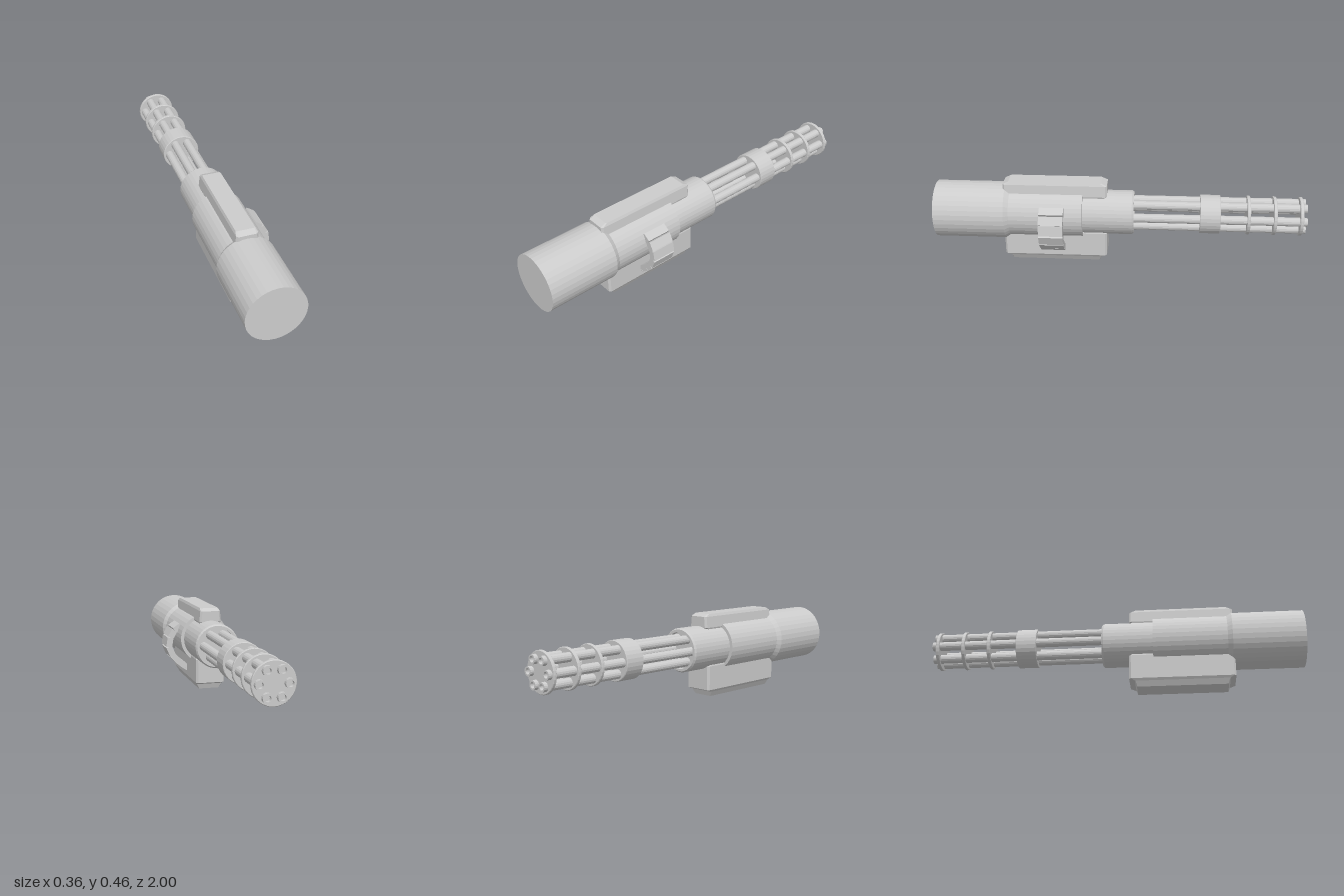
import * as THREE from 'three';

const AXIS_X = -0.025, AXIS_Y = 0.27;
const material = new THREE.MeshStandardMaterial({ color: 0xcccccc, flatShading: true });

function addMesh(parent, name, geometry) {
  const flat = geometry.index ? geometry.toNonIndexed() : geometry;
  flat.computeVertexNormals();
  const mesh = new THREE.Mesh(flat, material);
  mesh.name = name;
  parent.add(mesh);
  return mesh;
}

// Turned part along z; profile of [radius, z] from low z to high z
function turned(profile, sides) {
  const points = profile.map(([r, z]) => new THREE.Vector2(r, z));
  return new THREE.LatheGeometry(points, sides).rotateX(Math.PI / 2);
}

// Solid disc along z with a small bevel on both rims
function disc(radius, z0, z1, bevel = 0.003) {
  return turned([[0, z0], [radius - bevel, z0], [radius, z0 + bevel],
    [radius, z1 - bevel], [radius - bevel, z1], [0, z1]], 32);
}

// Block stacked from chamfered rectangles; layers of [y, half width, z0, z1, chamfer], bottom to top
function block(layers) {
  const pos = [], index = [], n = 8;
  for (const [y, w, z0, z1, c] of layers) {
    const ring = [[w, z0 + c], [w, z1 - c], [w - c, z1], [c - w, z1],
      [-w, z1 - c], [-w, z0 + c], [c - w, z0], [w - c, z0]];
    for (const [x, z] of ring) pos.push(AXIS_X + x, y, z);
  }
  const top = (layers.length - 1) * n;
  for (let k = 0; k < top; k += n) {
    for (let i = 0; i < n; i++) {
      const a = k + i, b = k + (i + 1) % n;
      index.push(a, a + n, b + n, a, b + n, b);
    }
  }
  for (let i = 1; i < n - 1; i++) index.push(0, i, i + 1, top, top + i + 1, top + i);
  const geometry = new THREE.BufferGeometry();
  geometry.setAttribute('position', new THREE.Float32BufferAttribute(pos, 3));
  geometry.setIndex(index);
  return geometry;
}

export function createModel() {
  const model = new THREE.Group();
  model.name = 'rotaryGun';

  const core = new THREE.Group();
  core.name = 'rotaryAssembly';
  core.position.set(AXIS_X, AXIS_Y, 0);
  model.add(core);

  // Housing: recessed nose, stepped middle and wide rear drum
  addMesh(core, 'housing', turned([
    [0, -0.05], [0.1, -0.05], [0.1, -0.075], [0.113, -0.075], [0.12, -0.065],
    [0.12, 0.2], [0.138, 0.2], [0.138, 0.595], [0.154, 0.62], [0.154, 1], [0, 1],
  ], 36));

  // Six hollow barrels
  const barrels = new THREE.Group();
  barrels.name = 'barrels';
  core.add(barrels);
  const tube = turned([[0, -0.95], [0.015, -0.95], [0.015, -1], [0.024, -1], [0.024, -0.04]], 16);
  for (let i = 0; i < 6; i++) {
    const angle = i * Math.PI / 3;
    addMesh(barrels, 'barrel', tube).position.set(0.07 * Math.cos(angle), 0.07 * Math.sin(angle), 0);
  }

  // Wide clamp and three thin clamp plates
  addMesh(core, 'barrelClamp', disc(0.105, -0.54, -0.43));
  for (const z of [-0.69, -0.83, -0.97]) addMesh(core, 'clampPlate', disc(0.105, z - 0.009, z + 0.009));

  // Rail on top
  addMesh(model, 'topRail', block([
    [0.37, 0.058, 0.085, 0.62, 0.01],
    [0.382, 0.062, 0.07, 0.63, 0.01],
    [0.442, 0.056, 0.07, 0.63, 0.01],
    [0.456, 0.05, 0.1, 0.6, 0.006],
  ]));

  // Ammunition box underneath with a tapered foot
  addMesh(model, 'ammoBox', block([
    [0, 0.058, 0.11, 0.59, 0.003],
    [0.028, 0.073, 0.1, 0.6, 0.003],
    [0.04, 0.081, 0.07, 0.63, 0.01],
    [0.172, 0.081, 0.07, 0.63, 0.01],
    [0.182, 0.078, 0.08, 0.62, 0.01],
  ]));

  // Curved feed belt made of straight links
  const belt = new THREE.Group();
  belt.name = 'feedBelt';
  model.add(belt);
  const path = [[0.09, 0.33], [0.128, 0.305], [0.152, 0.263], [0.16, 0.21],
    [0.138, 0.158], [0.104, 0.123], [0.062, 0.09], [0.02, 0.07]];
  for (let i = 0; i < path.length - 1; i++) {
    const [x0, y0] = path[i], [x1, y1] = path[i + 1];
    const length = Math.hypot(x1 - x0, y1 - y0);
    const link = addMesh(belt, 'beltLink', new THREE.BoxGeometry(length, 0.035, 0.13));
    link.position.set((x0 + x1) / 2, (y0 + y1) / 2, 0.362);
    link.rotation.z = Math.atan2(y1 - y0, x1 - x0);
  }

  return model;
}
